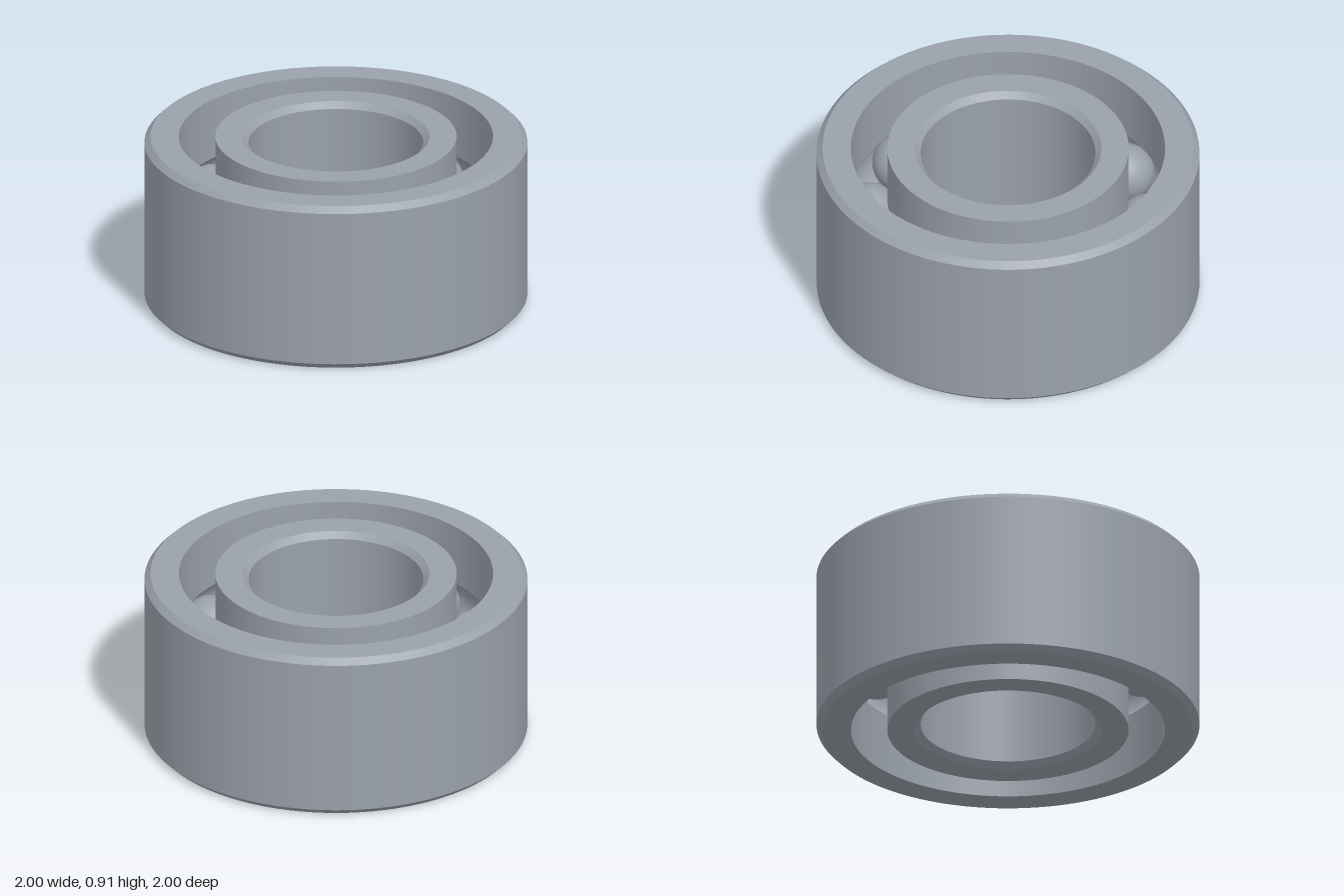
import * as THREE from 'three';
import { mergeGeometries } from 'three/addons/utils/BufferGeometryUtils.js';

const H = 0.91, MID = H / 2, CH = 0.032; // width, ball plane, chamfer
const PITCH = 0.725, BALL_R = 0.152, GROOVE_R = 0.157, BALLS = 10;
const OUTER_R = 1, OUTER_BORE = 0.82, INNER_R = 0.63, BORE = 0.456;

// Each profile section is lathed separately, so edges between sections stay sharp.
function ring(name, sections, material) {
  const parts = sections.map((pts) =>
    new THREE.LatheGeometry(pts.map(([x, y]) => new THREE.Vector2(x, y)), 128));
  const mesh = new THREE.Mesh(mergeGeometries(parts), material);
  mesh.name = name;
  return mesh;
}

// Straight sections through a list of corners
const straights = (pts) => pts.slice(1).map((p, i) => [pts[i], p]);

// Circular raceway groove between two angles
function groove(from, to) {
  return Array.from({ length: 17 }, (_, i) => {
    const a = from + (to - from) * i / 16;
    return [PITCH + GROOVE_R * Math.cos(a), MID + GROOVE_R * Math.sin(a)];
  });
}

export function createModel() {
  const group = new THREE.Group();
  group.name = 'ballBearing';
  const steel = new THREE.MeshStandardMaterial({ color: 0x9aa1ab });
  steel.name = 'steel';

  // Outer ring: chamfered outside, raceway inside
  const ao = Math.acos((OUTER_BORE - PITCH) / GROOVE_R);
  const ho = GROOVE_R * Math.sin(ao);
  group.add(ring('outerRing', [
    ...straights([[OUTER_BORE, 0], [OUTER_R - CH, 0], [OUTER_R, CH], [OUTER_R, H - CH],
      [OUTER_R - CH, H], [OUTER_BORE, H], [OUTER_BORE, MID + ho]]),
    groove(ao, -ao),
    [[OUTER_BORE, MID - ho], [OUTER_BORE, 0]],
  ], steel));

  // Inner ring: raceway outside, chamfered bore
  const ai = Math.acos((PITCH - INNER_R) / GROOVE_R);
  const hi = GROOVE_R * Math.sin(ai);
  group.add(ring('innerRing', [
    [[INNER_R, 0], [INNER_R, MID - hi]],
    groove(Math.PI + ai, Math.PI - ai),
    ...straights([[INNER_R, MID + hi], [INNER_R, H], [BORE + CH, H], [BORE, H - CH],
      [BORE, CH], [BORE + CH, 0], [INNER_R, 0]]),
  ], steel));

  // Balls, evenly spaced in the raceway
  const balls = new THREE.Group();
  balls.name = 'balls';
  const ballGeometry = new THREE.SphereGeometry(BALL_R, 40, 24);
  for (let i = 0; i < BALLS; i++) {
    const a = THREE.MathUtils.degToRad(11.9 + i * 360 / BALLS);
    const ball = new THREE.Mesh(ballGeometry, steel);
    ball.name = 'ball';
    ball.position.set(PITCH * Math.cos(a), MID, PITCH * Math.sin(a));
    balls.add(ball);
  }
  group.add(balls);
  return group;
}
